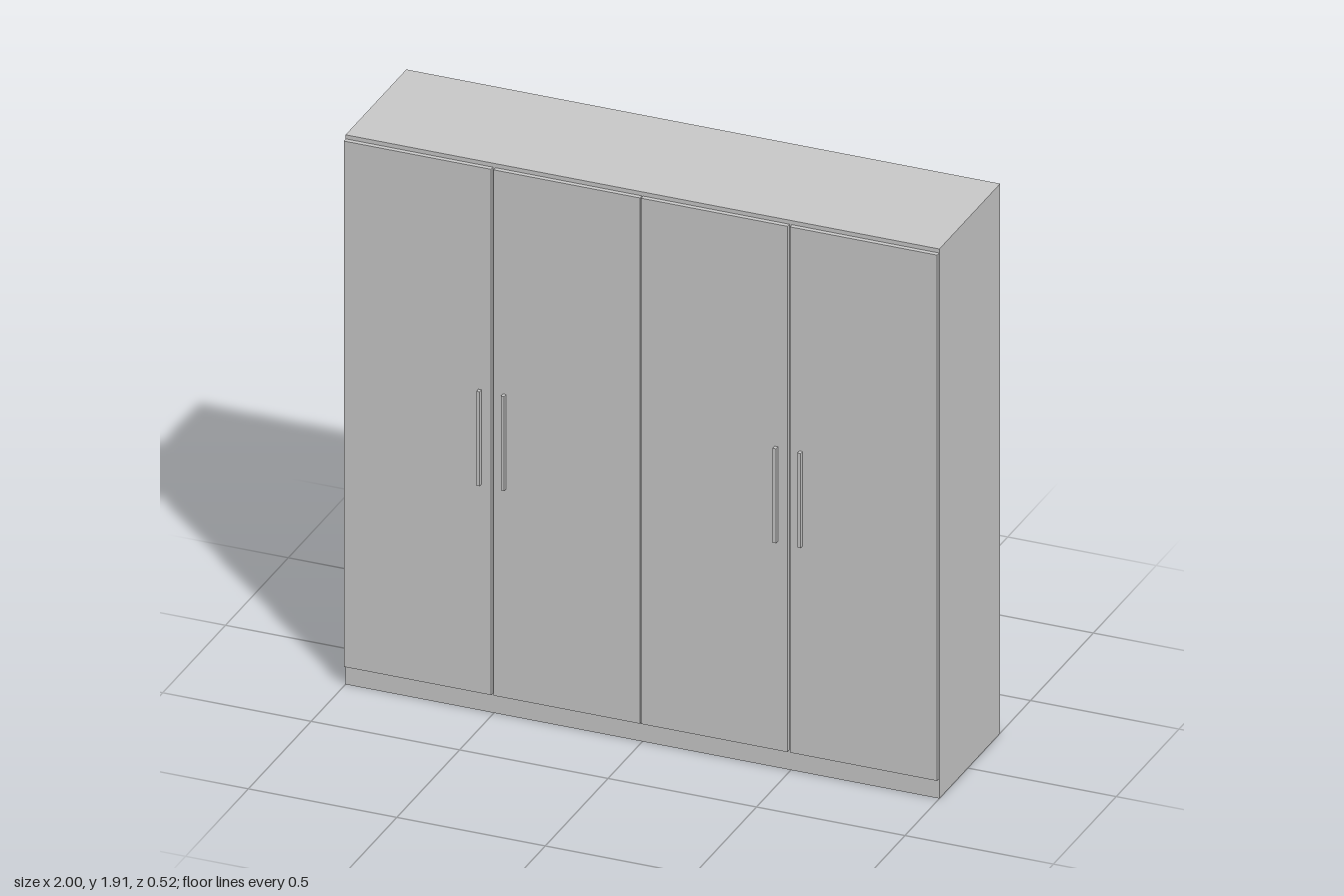
import * as THREE from 'three';

export function createModel() {
  const group = new THREE.Group();
  const material = new THREE.MeshStandardMaterial({ color: 0xcccccc, flatShading: true });

  // Box given by its extents along each axis
  function box(name, [x0, x1], [y0, y1], [z0, z1]) {
    const mesh = new THREE.Mesh(new THREE.BoxGeometry(x1 - x0, y1 - y0, z1 - z0), material);
    mesh.position.set((x0 + x1) / 2, (y0 + y1) / 2, (z0 + z1) / 2);
    mesh.name = name;
    group.add(mesh);
  }

  const height = 1.914, back = -0.258, front = 0.226, doorFront = 0.242, handleFront = 0.258;
  const doorBottom = 0.069, doorTop = 1.9;

  // Cabinet body standing on a flush plinth
  box('plinth', [-1, 1], [0, doorBottom], [back, front]);
  box('carcass', [-1, 1], [doorBottom, height], [back, front]);

  // Two pairs of doors, each with an upright bar handle beside the gap
  for (const side of [-1, 1]) {
    const label = side > 0 ? 'left' : 'right';
    const span = (a, b) => (side > 0 ? [a, b] : [-b, -a]);
    box(label + 'InnerDoor', span(0.002, 0.495), [doorBottom, doorTop], [front, doorFront]);
    box(label + 'OuterDoor', span(0.503, 0.999), [doorBottom, doorTop], [front, doorFront]);
    box(label + 'InnerHandle', span(0.452, 0.463), [0.797, 1.126], [doorFront, handleFront]);
    box(label + 'OuterHandle', span(0.535, 0.546), [0.797, 1.126], [doorFront, handleFront]);
  }
  return group;
}
